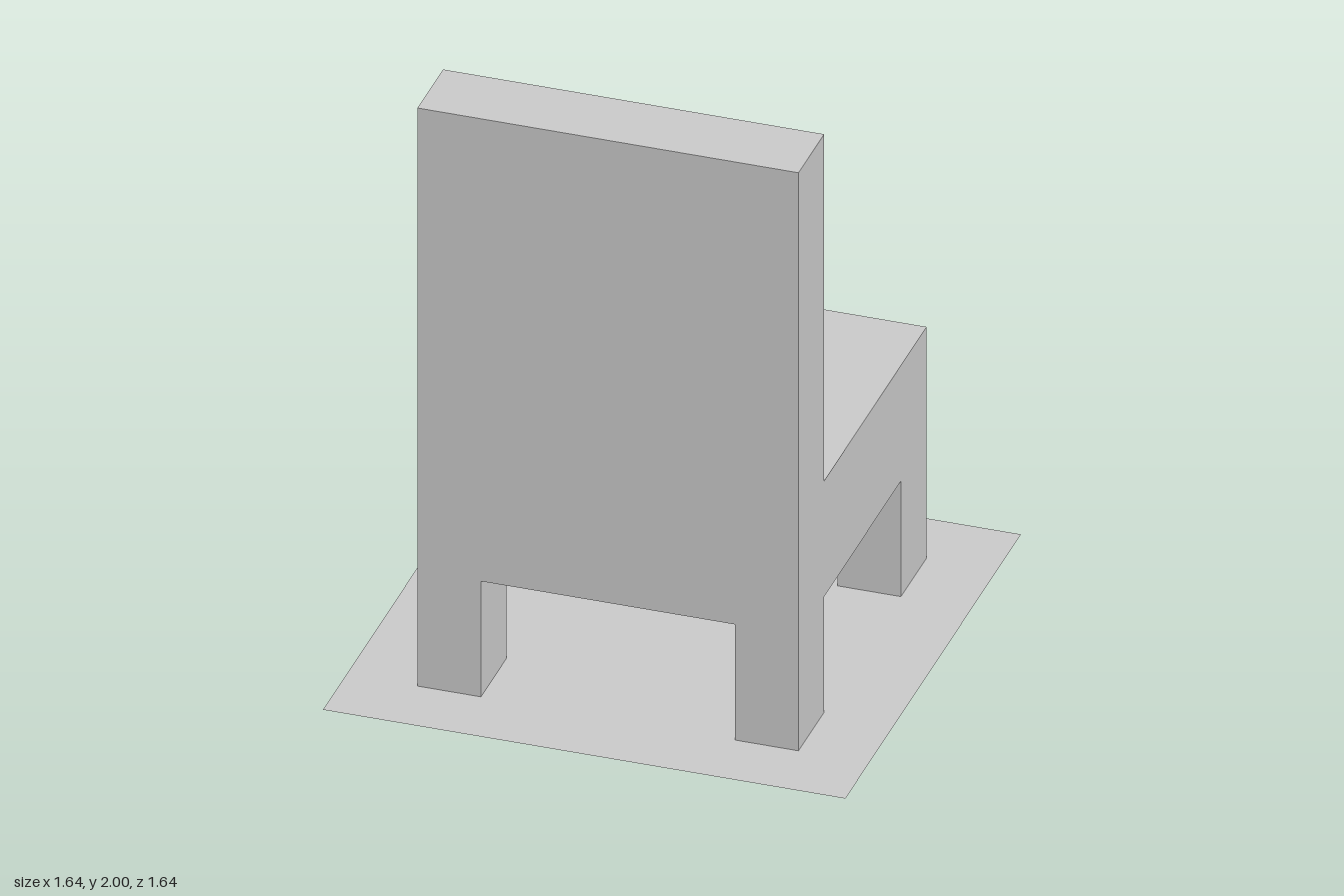
import * as THREE from 'three';

const WIDTH = 1.2, DEPTH = 1.2, THICK = 0.24, LEG_W = 0.2;
const LEG_H = 0.4, SEAT_TOP = 0.8, TOP = 2;

export function createModel() {
  const group = new THREE.Group();
  const material = new THREE.MeshStandardMaterial({ color: 0xcccccc, flatShading: true });

  // Box given by its size, its bottom height and its centre on x and z
  function addBox(name, w, h, d, x, bottom, z) {
    const mesh = new THREE.Mesh(new THREE.BoxGeometry(w, h, d), material);
    mesh.position.set(x, bottom + h / 2, z);
    mesh.name = name;
    group.add(mesh);
  }

  const legX = (WIDTH - LEG_W) / 2;
  const legZ = (DEPTH - THICK) / 2;

  // Thick seat block and the tall backrest on its +z edge
  addBox('seat', WIDTH, SEAT_TOP - LEG_H, DEPTH, 0, LEG_H, 0);
  addBox('backrest', WIDTH, TOP - SEAT_TOP, THICK, 0, SEAT_TOP, legZ);

  // Four corner legs, flush with the seat sides
  for (const [side, sx] of [['left', 1], ['right', -1]]) {
    for (const [end, sz] of [['Front', 1], ['Rear', -1]]) {
      addBox(`${side}${end}Leg`, LEG_W, LEG_H, THICK, sx * legX, 0, sz * legZ);
    }
  }

  // Flat square base sheet under the chair
  const sheetMaterial = material.clone();
  sheetMaterial.side = THREE.DoubleSide;
  const sheet = new THREE.Mesh(new THREE.PlaneGeometry(1.645, 1.645), sheetMaterial);
  sheet.rotation.x = -Math.PI / 2;
  sheet.name = 'baseSheet';
  group.add(sheet);

  return group;
}
